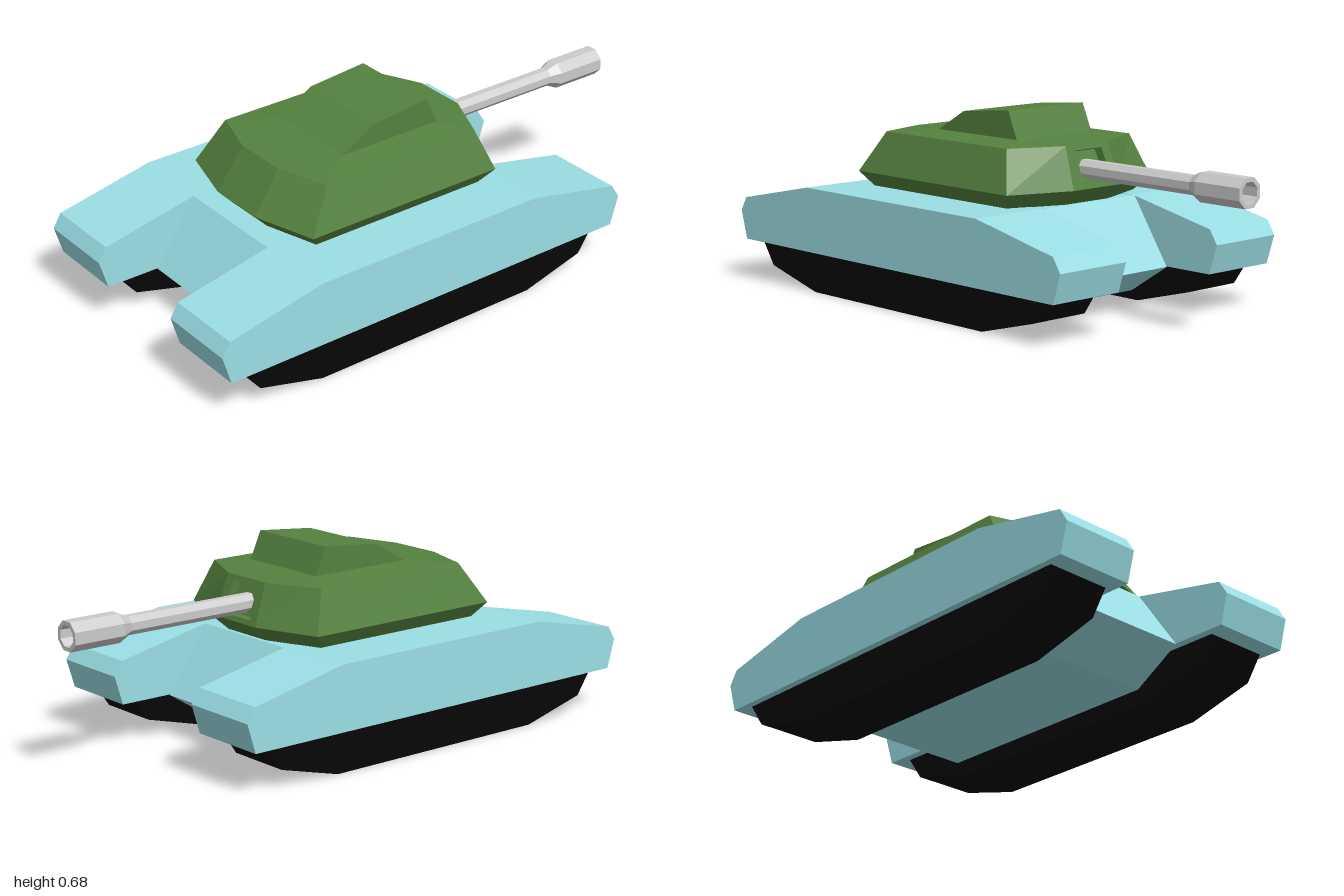
import * as THREE from 'three';

const mat = (color) => new THREE.MeshStandardMaterial({ color, flatShading: true, side: THREE.DoubleSide });

// Side profile in x/y, extruded across z between z0 and z1
function slab(name, profile, z0, z1, material) {
  const shape = new THREE.Shape(profile.map(([x, y]) => new THREE.Vector2(x, y)));
  const geo = new THREE.ExtrudeGeometry(shape, { depth: z1 - z0, bevelEnabled: false });
  geo.translate(0, 0, z0);
  const mesh = new THREE.Mesh(geo, material);
  mesh.name = name;
  return mesh;
}

// Eight-sided ring with a narrow nose and tail and wide flanks
function ring(y, tail, flankBack, flankFront, nose, zEnd, zSide) {
  return [
    [nose, y, zEnd], [nose, y, -zEnd], [flankFront, y, -zSide], [flankBack, y, -zSide],
    [tail, y, -zEnd], [tail, y, zEnd], [flankBack, y, zSide], [flankFront, y, zSide],
  ];
}

function turretGeometry() {
  const pos = [];
  const quad = (a, b, c, d) => pos.push(...a, ...b, ...c, ...a, ...c, ...d);
  // joins two loops of points with quads
  const band = (lo, hi, skip = -1) => lo.forEach((p, i) => {
    const j = (i + 1) % lo.length;
    if (i !== skip) quad(p, lo[j], hi[j], hi[i]);
  });
  const rings = [
    ring(0.375, -0.54, -0.485, 0.2, 0.275, 0.1, 0.3),
    ring(0.428, -0.59, -0.525, 0.245, 0.325, 0.11, 0.34),
    ring(0.573, -0.49, -0.43, 0.19, 0.275, 0.1, 0.29),
    ring(0.585, -0.29, -0.28, 0.11, 0.12, 0.1, 0.175),
  ];
  for (let i = 0; i < 3; i++) band(rings[i], rings[i + 1], i === 1 ? 0 : -1);
  // roof centre
  const r = rings[3];
  for (let i = 1; i < 7; i++) pos.push(...r[0], ...r[i], ...r[i + 1]);
  // nose plate with the gun recess
  const noseX = (y) => 0.325 - (y - 0.428) * 0.345;
  const outer = [rings[1][0], rings[1][1], rings[2][1], rings[2][0]];
  const edge = [[0.445, 0.075], [0.445, -0.075], [0.555, -0.062], [0.555, 0.062]]
    .map(([y, z]) => [noseX(y), y, z]);
  const back = edge.map(([x, y, z]) => [x - 0.03, y > 0.5 ? y - 0.008 : y, z * 0.97]);
  band(outer, edge);
  band(edge, back);
  quad(...back);

  const geo = new THREE.BufferGeometry();
  geo.setAttribute('position', new THREE.Float32BufferAttribute(pos, 3));
  geo.computeVertexNormals();
  return geo;
}

export function createModel() {
  const tank = new THREE.Group();
  tank.name = 'tank';
  const blue = mat(0x9bdfe5), green = mat(0x55823f), black = mat(0x060606), grey = mat(0xcccccc);

  // hull between the tracks
  tank.add(slab('hull', [
    [-0.6, 0.04], [0.28, 0.04], [0.445, 0.145], [0.29, 0.375], [-0.62, 0.375], [-0.775, 0.145],
  ], -0.216, 0.216, blue));

  // track guards and tracks, one pair per side
  const guard = [
    [-0.97, 0.147], [0.64, 0.147], [0.672, 0.25], [0.64, 0.3],
    [0.28, 0.376], [-0.61, 0.376], [-0.97, 0.3], [-1, 0.25],
  ];
  const track = [
    [-0.6, 0], [0.28, 0], [0.515, 0.063], [0.575, 0.15], [-0.905, 0.15], [-0.845, 0.063],
  ];
  for (const [side, s] of [['left', 1], ['right', -1]]) {
    const span = (a, b) => (s > 0 ? [a, b] : [-b, -a]);
    tank.add(slab(side + 'TrackGuard', guard, ...span(0.216, 0.508), blue));
    tank.add(slab(side + 'Track', track, ...span(0.246, 0.483), black));
  }

  // turret and its raised hatch
  const turret = new THREE.Mesh(turretGeometry(), green);
  turret.name = 'turret';
  tank.add(turret);
  tank.add(slab('hatch', [
    [-0.29, 0.58], [0.12, 0.58], [0.075, 0.681], [-0.15, 0.66],
  ], -0.176, 0.176, green));

  // octagonal gun barrel with a hollow muzzle
  const profile = [
    [0.034, 0.26], [0.034, 0.77], [0.053, 0.81], [0.053, 1], [0.038, 1], [0.038, 0.84], [0, 0.84],
  ].map(([r, x]) => new THREE.Vector2(r, x));
  const barrelGeo = new THREE.LatheGeometry(profile, 8, Math.PI / 8);
  barrelGeo.rotateZ(-Math.PI / 2);
  const barrel = new THREE.Mesh(barrelGeo, grey);
  barrel.name = 'gunBarrel';
  barrel.position.y = 0.487;
  tank.add(barrel);

  return tank;
}
